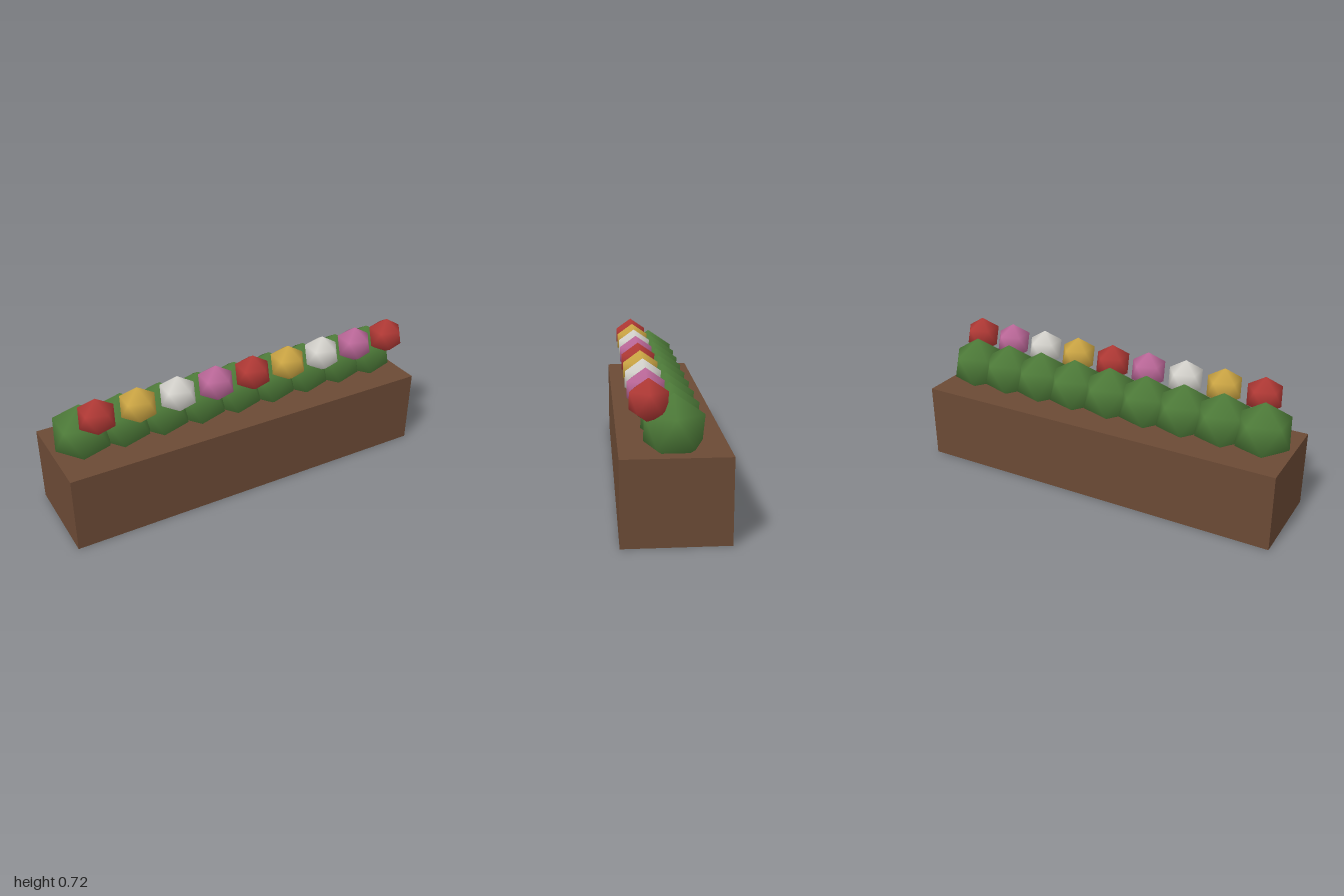
import * as THREE from 'three';
import { mergeVertices } from 'three/addons/utils/BufferGeometryUtils.js';

// Icosahedron standing on one corner, shaded smooth
function makeBall(radius) {
  const ico = new THREE.IcosahedronGeometry(radius, 0);
  ico.deleteAttribute('uv');
  ico.deleteAttribute('normal');
  const ball = mergeVertices(ico, 1e-4);
  ball.rotateZ(-Math.atan(2 / (1 + Math.sqrt(5))));
  ball.computeVertexNormals();
  return ball;
}

export function createModel() {
  const group = new THREE.Group();
  const paint = (color) => new THREE.MeshStandardMaterial({ color });

  const add = (name, geometry, material, x, y, z) => {
    const mesh = new THREE.Mesh(geometry, material);
    mesh.name = name;
    mesh.position.set(x, y, z);
    group.add(mesh);
  };

  // Planter box
  add('planterBox', new THREE.BoxGeometry(2, 0.4, 0.49), paint(0x6b4a35), 0, 0.2, 0);

  // Row of bushes, each with a blossom at its front
  const bush = makeBall(0.155);
  const blossom = makeBall(0.099);
  const leafGreen = paint(0x4f7d3a);
  const blossomColors = [0xb33a36, 0xcfa845, 0xd8d6d0, 0xbf6a9c].map(paint);
  const count = 9;
  const spacing = 0.211;

  for (let i = 0; i < count; i++) {
    const x = (i - (count - 1) / 2) * spacing;
    add(`bush${i + 1}`, bush, leafGreen, x, 0.49, 0);
    add(`blossom${i + 1}`, blossom, blossomColors[i % 4], x + 0.045, 0.624, 0.112);
  }
  return group;
}
